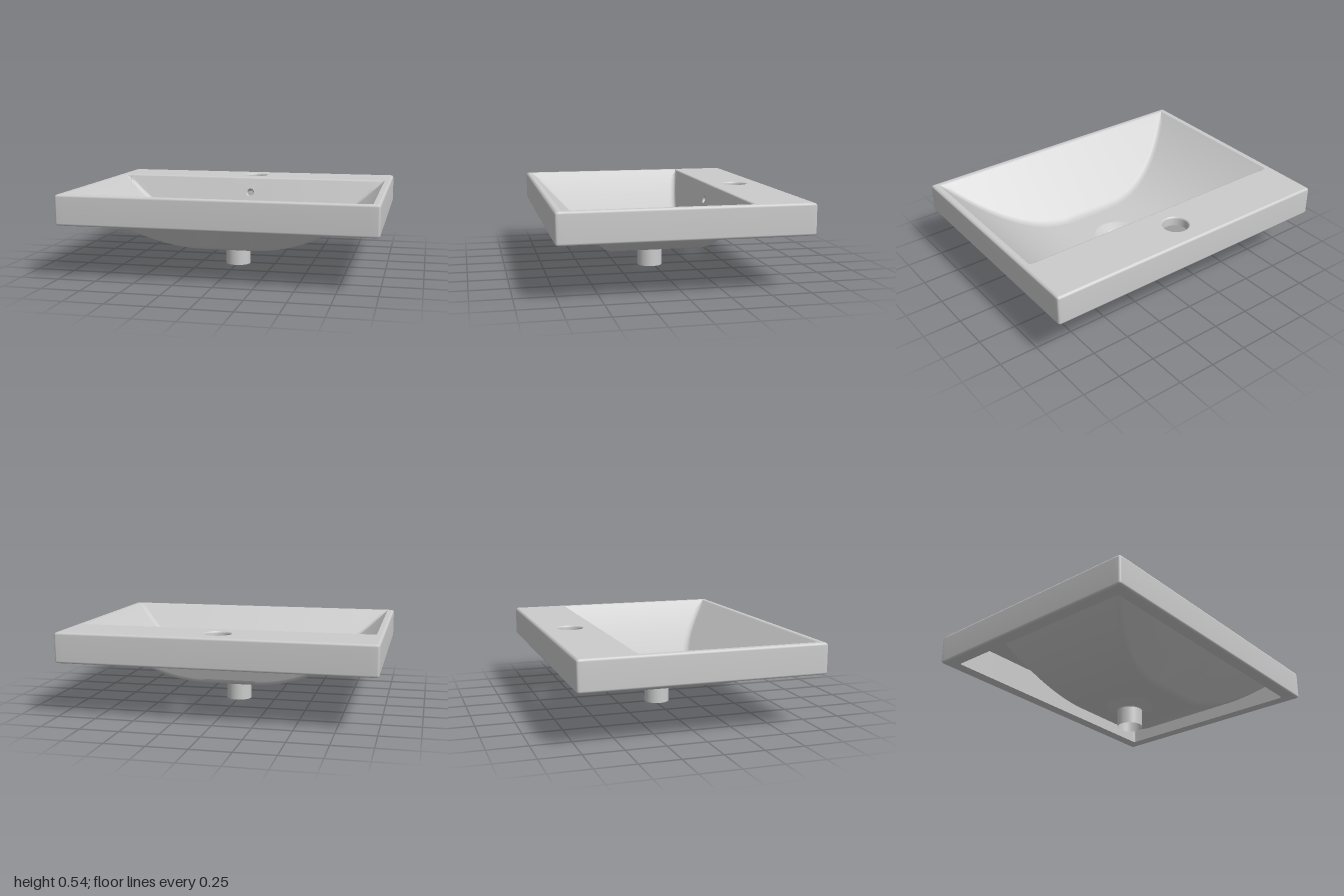
import * as THREE from 'three';

const TOP = 0.54, BASE = 0.345, FLOOR = 0.15;   // deck, rim underside, bowl floor
const BOWL_X = 0.955, FLAT_X = 0.17;            // bowl half width, flat centre half width
const DRAIN_Z = 0.02, TAP_Z = -0.58;

const material = new THREE.MeshStandardMaterial({ color: 0xcccccc, side: THREE.DoubleSide });

// Bowl rules: floor height across x, and sloping front and back walls
const floorY = (x) => {
  const u = Math.max(0, (Math.abs(x) - FLAT_X) / (BOWL_X - FLAT_X));
  return FLOOR + (TOP - FLOOR) * u * u;
};
const frontZ = (y) => 0.36 + (y - FLOOR) * 0.96;
const backZ = (y) => -0.27 - (y - FLOOR) / 3;
const bowlY = (x, z) => Math.min(TOP, Math.max(floorY(x),
  FLOOR + (z - 0.36) / 0.96, FLOOR + (-0.27 - z) * 3));

// Front-to-back bowl section at x, as (z, y) points with rounded corners
function section(x) {
  const y = floorY(x);
  const p = [
    [frontZ(TOP) + 0.01, TOP], [frontZ(TOP), TOP], [frontZ(y), y],
    [backZ(y), y], [backZ(TOP), TOP], [backZ(TOP) - 0.01, TOP],
  ].map(([a, b]) => new THREE.Vector2(a, b));
  const out = [p[0]];
  for (let i = 1; i < 5; i++) {
    const wall = i < 3 ? p[1].distanceTo(p[2]) : p[3].distanceTo(p[4]);
    const r = Math.min(i === 1 || i === 4 ? 0.01 : 0.035, wall * 0.45);
    const a = p[i - 1].clone().sub(p[i]).normalize().multiplyScalar(r).add(p[i]);
    const b = p[i + 1].clone().sub(p[i]).normalize().multiplyScalar(r).add(p[i]);
    out.push(...new THREE.QuadraticBezierCurve(a, p[i], b).getPoints(4));
  }
  out.push(p[5]);
  return out;
}

// Skin a surface over rows of equal length
function skin(rows) {
  const n = rows[0].length, index = [];
  for (let i = 0; i < rows.length - 1; i++) {
    for (let j = 0; j < n - 1; j++) {
      const a = i * n + j, b = a + n;
      index.push(a, a + 1, b, b, a + 1, b + 1);
    }
  }
  const g = new THREE.BufferGeometry().setFromPoints(rows.flat());
  g.setIndex(index);
  g.computeVertexNormals();
  return g;
}

// Bowl surface between two x positions, using part of the section
function bowlSkin(x0, x1, steps, from = 0, to = 21) {
  const rows = [];
  for (let i = 0; i <= steps; i++) {
    const x = x0 + (x1 - x0) * i / steps;
    rows.push(section(x).slice(from, to + 1).map((q) => new THREE.Vector3(x, q.y, q.x)));
  }
  return skin(rows);
}

// Closed rounded-rectangle loop, inset from the outer edge; height may follow a rule
function rimLoop(inset, height) {
  const r = 0.015, hx = 1 - inset - r, hz = 0.773 - inset - r, flat = [];
  [[1, 1], [-1, 1], [-1, -1], [1, -1]].forEach(([sx, sz], k) => {
    for (let i = 0; i <= 4; i++) {
      const a = (k + i / 4) * Math.PI / 2;
      flat.push([sx * hx + r * Math.cos(a), sz * hz + r * Math.sin(a)]);
    }
  });
  const loop = [];
  flat.forEach(([x, z], i) => {
    const [nx, nz] = flat[(i + 1) % flat.length];
    const steps = i % 5 === 4 ? 40 : 1;
    for (let s = 0; s < steps; s++) loop.push([x + (nx - x) * s / steps, z + (nz - z) * s / steps]);
  });
  loop.push(loop[0]);
  return loop.map(([x, z]) =>
    new THREE.Vector3(x, typeof height === 'function' ? height(x, z) : height, z));
}

function rectShape(x0, y0, x1, y1) {
  return new THREE.Shape([[x0, y0], [x1, y0], [x1, y1], [x0, y1]].map(([x, y]) => new THREE.Vector2(x, y)));
}

function circleHole(x, y, r) {
  return new THREE.Path().absarc(x, y, r, 0, Math.PI * 2, true);
}

const lathe = (pts) => new THREE.LatheGeometry(pts.map(([r, y]) => new THREE.Vector2(r, y)), 48);

export function createModel() {
  const model = new THREE.Group();
  const add = (name, geometry, parent = model) => {
    const mesh = new THREE.Mesh(geometry, material);
    mesh.name = name;
    parent.add(mesh);
    return mesh;
  };

  // Deck with bowl opening and tap hole (shape y is -z)
  const deck = rectShape(-0.985, -0.758, 0.985, 0.758);
  deck.holes.push(
    rectShape(-BOWL_X, -frontZ(TOP) - 0.01, BOWL_X, -backZ(TOP) + 0.01),
    circleHole(0, -TAP_Z, 0.09));
  add('deck', new THREE.ShapeGeometry(deck, 24).rotateX(-Math.PI / 2).translate(0, TOP, 0));
  add('tapHole', lathe([[0.09, TOP], [0.084, 0.537], [0.081, 0.528], [0.081, 0.48]])
    .translate(0, 0, TAP_Z));

  // Outer apron with softened edges, flat underside and inner skirt
  add('apron', skin([[0.015, TOP], [0.0045, 0.5355], [0, 0.525], [0, 0.36], [0.0045, 0.3495], [0.015, BASE]]
    .map(([inset, y]) => rimLoop(inset, y))));
  add('rimUnderside', skin([rimLoop(0.015, BASE), rimLoop(0.09, BASE)]));
  add('innerSkirt', skin([rimLoop(0.09, BASE), rimLoop(0.09, bowlY)]));

  // Bowl: curved sides and a central panel pierced for drain and overflow
  const bowl = new THREE.Group();
  bowl.name = 'bowl';
  model.add(bowl);
  add('leftBowlSide', bowlSkin(FLAT_X, BOWL_X, 40), bowl);
  add('rightBowlSide', bowlSkin(-BOWL_X, -FLAT_X, 40), bowl);
  add('frontBowlWall', bowlSkin(-FLAT_X, FLAT_X, 2, 0, 10), bowl);
  add('backBowlCorner', bowlSkin(-FLAT_X, FLAT_X, 2, 11, 15), bowl);
  add('backBowlRim', bowlSkin(-FLAT_X, FLAT_X, 2, 16, 21), bowl);

  const mid = section(0);
  const bowlFloor = rectShape(-FLAT_X, -mid[10].x, FLAT_X, -mid[11].x);
  bowlFloor.holes.push(circleHole(0, -DRAIN_Z, 0.16));
  add('bowlFloor', new THREE.ShapeGeometry(bowlFloor, 24)
    .rotateX(-Math.PI / 2).translate(0, FLOOR, 0), bowl);

  // Back wall panel drawn upright, then leaned onto the wall slope
  const low = mid[15], high = mid[16], length = low.distanceTo(high);
  const overflowY = 0.435;
  const lean = Math.atan2(low.x - high.x, high.y - low.y);
  const wall = rectShape(-FLAT_X, 0, FLAT_X, length);
  wall.holes.push(circleHole(0, (overflowY - low.y) / Math.cos(lean), 0.028));
  add('backBowlWall', new THREE.ShapeGeometry(wall, 24)
    .rotateX(-lean).translate(0, low.y, low.x), bowl);
  add('overflow', lathe([[0.028, 0], [0.023, -0.005], [0.021, -0.012], [0.021, -0.03]])
    .rotateX(Math.PI / 2 - lean).translate(0, overflowY, backZ(overflowY)), bowl);

  // Drain dish and open outlet pipe
  add('drainDish', lathe([[0.16, FLOOR], [0.148, 0.147], [0.1, 0.127], [0.088, 0.121], [0.083, 0.115]])
    .translate(0, 0, DRAIN_Z));
  add('drainPipe', lathe([[0.083, 0.115], [0.083, 0]]).translate(0, 0, DRAIN_Z));

  return model;
}
